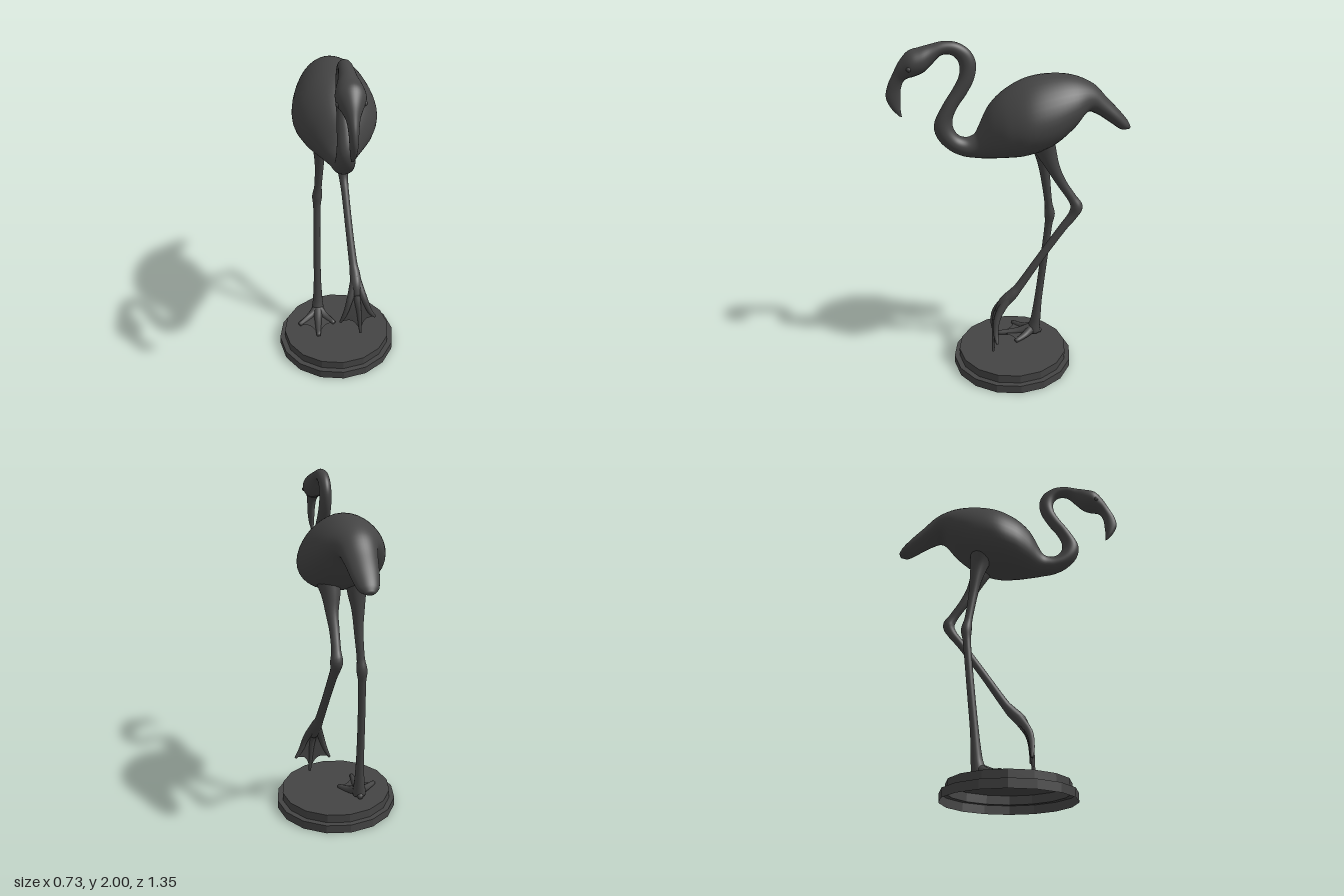
import * as THREE from 'three';
import { ParametricGeometry } from 'three/addons/geometries/ParametricGeometry.js';

const X = new THREE.Vector3(1, 0, 0);
const color = 0x444444;
const material = new THREE.MeshStandardMaterial({ color });
const thin = new THREE.MeshStandardMaterial({ color, side: THREE.DoubleSide });
const flat = new THREE.MeshStandardMaterial({ color, side: THREE.DoubleSide, flatShading: true });

function add(parent, name, geometry, mat = material) {
  const mesh = new THREE.Mesh(geometry, mat);
  mesh.name = name;
  parent.add(mesh);
  return mesh;
}

const spline = (points, type) => new THREE.CatmullRomCurve3(points, false, type);

// Skin over rings; section(t) gives the centre, two half axes and how egg-shaped the ring is.
function loft(section, steps, sides) {
  const positions = [], indices = [];
  for (let i = -1; i <= steps + 1; i++) {
    const { c, u, v, egg = 0 } = section(Math.min(Math.max(i / steps, 0), 1));
    const k = i < 0 || i > steps ? 0 : 1;
    for (let j = 0; j < sides; j++) {
      const a = (j / sides) * Math.PI * 2;
      const across = k * Math.cos(a) * (1 - egg * Math.sin(a));
      const p = c.clone().addScaledVector(u, across).addScaledVector(v, k * Math.sin(a));
      positions.push(p.x, p.y, p.z);
    }
  }
  for (let i = 0; i < steps + 2; i++) {
    for (let j = 0; j < sides; j++) {
      const a = i * sides + j, b = i * sides + ((j + 1) % sides);
      indices.push(a, b, b + sides, a, b + sides, a + sides);
    }
  }
  const g = new THREE.BufferGeometry();
  g.setAttribute('position', new THREE.Float32BufferAttribute(positions, 3));
  g.setIndex(indices);
  g.computeVertexNormals();
  return g;
}

// Mirror-symmetric form from rows of [upper z, upper y, lower z, lower y, half width]
function profileLoft(rows, sides) {
  const upper = spline(rows.map(([z, y]) => new THREE.Vector3(0, y, z)));
  const lower = spline(rows.map(([, , z, y]) => new THREE.Vector3(0, y, z)));
  const width = spline(rows.map((r) => new THREE.Vector3(r[4], 0, 0)), 'catmullrom');
  return loft((t) => {
    const a = upper.getPoint(t), b = lower.getPoint(t), w = width.getPoint(t).x;
    return {
      c: a.clone().add(b).multiplyScalar(0.5),
      u: X.clone().multiplyScalar(w),
      v: a.clone().sub(b).multiplyScalar(0.5),
      egg: w * 0.85,
    };
  }, (rows.length - 1) * 5, sides);
}

// Round tapering limb from rows of [x, y, z, radius]
function limb(rows, sides = 14) {
  const path = spline(rows.map(([x, y, z]) => new THREE.Vector3(x, y, z)));
  const radius = spline(rows.map((r) => new THREE.Vector3(r[3], 0, 0)), 'catmullrom');
  return loft((t) => {
    const T = path.getTangent(t), r = radius.getPoint(t).x;
    const u = X.clone().addScaledVector(T, -T.x).normalize();
    const v = T.clone().cross(u);
    return { c: path.getPoint(t), u: u.multiplyScalar(r), v: v.multiplyScalar(r) };
  }, (rows.length - 1) * 5, sides);
}

// Three toes with scalloped webs stretched between them
function webbedFoot(name, toes) {
  const foot = new THREE.Group();
  foot.name = name;
  const curves = toes.map((rows) => spline(rows.map(([x, y, z]) => new THREE.Vector3(x, y, z))));
  toes.forEach((rows) => add(foot, 'toe', limb(rows, 10)));
  for (let i = 0; i < 2; i++) {
    const web = new ParametricGeometry((s, t, target) => {
      const reach = t * (0.97 - 0.5 * s * (1 - s));
      target.copy(curves[i].getPoint(reach)).lerp(curves[i + 1].getPoint(reach), s);
    }, 12, 12);
    add(foot, 'web', web, thin);
  }
  return foot;
}

export function createModel() {
  const model = new THREE.Group();
  model.name = 'wadingBird';

  // Stepped plinth, open underneath
  const steps = [[0.367, 0], [0.367, 0.05], [0.335, 0.05], [0.335, 0.1], [0, 0.1]];
  add(model, 'plinth', new THREE.LatheGeometry(steps.map(([r, y]) => new THREE.Vector2(r, y)), 16), flat);

  // Tail and body
  const body = [
    [-0.672, 1.505, -0.662, 1.487, 0.022],
    [-0.655, 1.537, -0.62, 1.487, 0.052],
    [-0.6, 1.6, -0.555, 1.528, 0.072],
    [-0.53, 1.67, -0.475, 1.58, 0.087],
    [-0.45, 1.75, -0.41, 1.6, 0.11],
    [-0.335, 1.8, -0.32, 1.505, 0.175],
    [-0.2, 1.812, -0.2, 1.415, 0.219],
    [-0.07, 1.79, -0.06, 1.37, 0.23],
    [0.05, 1.725, 0.05, 1.36, 0.193],
    [0.13, 1.645, 0.115, 1.356, 0.142],
    [0.185, 1.537, 0.17, 1.355, 0.092],
    [0.21, 1.492, 0.22, 1.36, 0.068],
  ];
  // S-shaped neck
  const neck = [
    [0.25, 1.475, 0.275, 1.37, 0.058],
    [0.295, 1.487, 0.35, 1.407, 0.053],
    [0.325, 1.53, 0.413, 1.475, 0.05],
    [0.328, 1.58, 0.43, 1.55, 0.046],
    [0.3, 1.645, 0.375, 1.665, 0.041],
    [0.25, 1.715, 0.325, 1.74, 0.037],
    [0.205, 1.8, 0.288, 1.81, 0.035],
    [0.195, 1.88, 0.282, 1.865, 0.034],
    [0.225, 1.945, 0.298, 1.905, 0.034],
    [0.29, 1.988, 0.335, 1.928, 0.035],
    [0.36, 1.997, 0.38, 1.922, 0.038],
  ];
  // Head running into the hooked beak
  const head = [
    [0.43, 1.983, 0.43, 1.875, 0.049],
    [0.49, 1.968, 0.475, 1.837, 0.067],
    [0.545, 1.952, 0.525, 1.818, 0.071],
    [0.595, 1.9, 0.56, 1.808, 0.05],
    [0.632, 1.835, 0.58, 1.79, 0.032],
    [0.664, 1.77, 0.595, 1.75, 0.024],
    [0.675, 1.71, 0.6, 1.69, 0.02],
    [0.65, 1.65, 0.602, 1.645, 0.015],
    [0.615, 1.61, 0.598, 1.603, 0.007],
  ];
  add(model, 'bodyNeckAndHead', profileLoft([...body, ...neck, ...head], 36));
  for (const side of [-1, 1]) {
    add(model, 'eye', new THREE.SphereGeometry(0.013, 12, 8)).position.set(side * 0.061, 1.866, 0.547);
  }

  // Standing right leg
  add(model, 'standingLeg', limb([
    [-0.085, 1.48, -0.155, 0.075], [-0.074, 1.39, -0.175, 0.055], [-0.077, 1.29, -0.193, 0.037],
    [-0.077, 1.18, -0.208, 0.027], [-0.085, 1.02, -0.23, 0.023], [-0.09, 0.95, -0.24, 0.031],
    [-0.093, 0.88, -0.235, 0.023], [-0.1, 0.6, -0.207, 0.022], [-0.103, 0.35, -0.18, 0.024],
    [-0.105, 0.2, -0.165, 0.032], [-0.107, 0.14, -0.155, 0.04], [-0.107, 0.115, -0.155, 0.038],
  ]));
  const flatToe = (x, z) => [
    [-0.107, 0.145, -0.15, 0.034],
    [-0.107 + (x + 0.107) * 0.45, 0.12, -0.15 + (z + 0.15) * 0.45, 0.022],
    [x, 0.112, z, 0.013],
  ];
  const standingFoot = webbedFoot('standingFoot', [flatToe(-0.236, -0.035), flatToe(-0.125, 0.082), flatToe(-0.013, -0.025)]);
  add(standingFoot, 'heel', limb([[-0.107, 0.14, -0.15, 0.032], [-0.105, 0.115, -0.2, 0.014]], 10));
  model.add(standingFoot);

  // Raised left leg
  add(model, 'raisedLeg', limb([
    [0.085, 1.48, -0.145, 0.075], [0.074, 1.39, -0.182, 0.055], [0.077, 1.29, -0.225, 0.036],
    [0.076, 1.2, -0.275, 0.028], [0.082, 1.11, -0.335, 0.027], [0.086, 1.06, -0.36, 0.035],
    [0.087, 1.01, -0.34, 0.028], [0.09, 0.94, -0.285, 0.024], [0.098, 0.74, -0.14, 0.023],
    [0.108, 0.57, -0.02, 0.026], [0.112, 0.53, 0.015, 0.032], [0.113, 0.48, 0.065, 0.034],
    [0.115, 0.42, 0.1, 0.024],
  ]));
  const hangingToe = (mx, x, y, z) => [
    [0.113, 0.52, 0.035, 0.028], [mx, 0.4, 0.113, 0.02], [(mx + x) / 2, 0.31, 0.127, 0.015], [x, y, z, 0.008],
  ];
  model.add(webbedFoot('raisedFoot', [
    hangingToe(0.068, 0.01, 0.242, 0.125), hangingToe(0.115, 0.135, 0.155, 0.138), hangingToe(0.16, 0.228, 0.262, 0.122),
  ]));

  return model;
}
